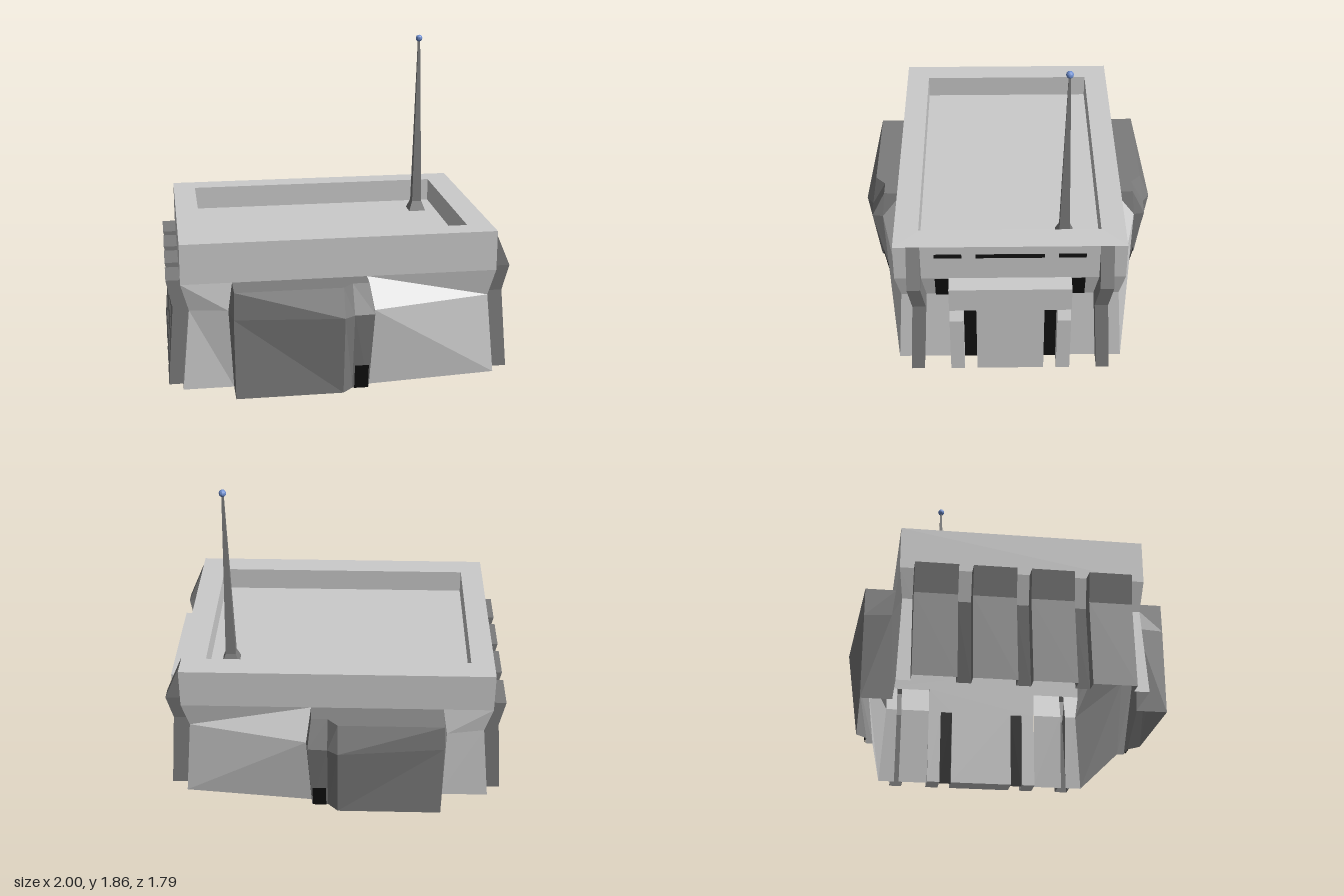
import * as THREE from 'three';

const mat = (color) => new THREE.MeshStandardMaterial({ color, flatShading: true, side: THREE.DoubleSide });
const light = mat(0xcccccc), dark = mat(0x7c7c7c), black = mat(0x111111), blue = mat(0x6f8fd0);
const Y = [0, 0.475, 0.635]; // ground, waist, shoulder
const TOP = 0.87, FLOOR = 0.73;

export function createModel() {
  const root = new THREE.Group();

  const add = (name, geo, material) => {
    const m = new THREE.Mesh(geo, material);
    m.name = name;
    root.add(m);
    return m;
  };

  // Sheet of quads stretched over columns of [x, y, z] points
  const skin = (name, cols, material) => {
    const n = cols[0].length, idx = [];
    for (let i = 0; i < cols.length - 1; i++) {
      for (let j = 0; j < n - 1; j++) {
        const a = i * n + j, b = a + n;
        idx.push(a, b, a + 1, b, b + 1, a + 1);
      }
    }
    const g = new THREE.BufferGeometry();
    g.setAttribute('position', new THREE.Float32BufferAttribute(cols.flat(2), 3));
    g.setIndex(idx);
    g.computeVertexNormals();
    return add(name, g, material);
  };

  // Rectangle outline at height y, closed
  const ring = (x0, x1, z, y) => [[x0, y, z], [x1, y, z], [x1, y, -z], [x0, y, -z], [x0, y, z]];

  // Upper walls, rim and sunken roof
  skin('upperWalls', [ring(-0.92, 0.9, 0.66, Y[2]), ring(-0.92, 0.9, 0.66, TOP)], light);
  skin('roofRim', [ring(-0.92, 0.9, 0.66, TOP), ring(-0.785, 0.755, 0.52, TOP)], light);
  skin('roofRecess', [ring(-0.785, 0.755, 0.52, TOP), ring(-0.785, 0.755, 0.52, FLOOR)], light);
  const floor = add('roofFloor', new THREE.PlaneGeometry(1.54, 1.04), light);
  floor.rotation.x = -Math.PI / 2;
  floor.position.set(-0.015, FLOOR, 0);

  // Long walls with bulge, side bay and its stepped doorway, mirrored front to back
  for (const s of [1, -1]) {
    const side = s > 0 ? 'front' : 'back';
    const col = (...p) => Y.map((y, i) => [p[i][0], y, p[i][1] * s]);
    const bayStart = col([-0.63, 0.66], [-0.655, 0.68], [-0.63, 0.66]);
    const bayEnd = col([0.14, 0.73], [0.165, 0.785], [0.14, 0.66]);
    const ridge = col([-0.02, 0.83], [-0.02, 0.895], [-0.02, 0.83]);
    const bay = [
      bayStart,
      col([-0.63, 0.83], [-0.635, 0.83], [-0.63, 0.83]),
      ridge,
      col([0.04, 0.77], [0.04, 0.855], [0.04, 0.77]),
      col([0.135, 0.77], [0.155, 0.85], [0.135, 0.77]),
      bayEnd,
    ];
    skin(side + 'WallShort', [col([-0.92, 0.66], [-0.875, 0.64], [-0.92, 0.66]), bayStart], light);
    skin(side + 'WallLong', [bayEnd, col([0.9, 0.66], [0.86, 0.63], [0.9, 0.66])], light);
    skin(side + 'Bay', bay, dark);
    skin(side + 'BayTop', bay.map((c) => [c[2], [c[2][0], Y[2], 0.66 * s]]), dark);
    skin(side + 'Doorway', [0.05, 0.13].map((x) => [[x, 0, 0.776 * s], [x, 0.15, 0.803 * s]]), black);
  }

  // End wall strip between z0 and z1 following the waisted profile
  const strip = (name, xs, z0, z1, material, w0 = z0) =>
    skin(name, [[z0, w0, z0], [z1, z1, z1]].map((z) => xs.map((x, i) => [x, Y[i], z[i]])), material);
  const leftX = [0.9, 0.86, 0.9], rightX = [-0.92, -0.875, -0.92];

  // Hollow pier with a bent profile of [outer x, inner x, y], shifted in z at the waist
  const pier = (name, prof, z0, z1, shift = 0) => {
    const line = (k, z) => prof.map((p, i) => [p[k], p[2], z + (i === 1 ? shift : 0)]);
    skin(name, [line(1, z0), line(0, z0), line(0, z1), line(1, z1)], dark);
    const t = prof.at(-1);
    if (t[0] !== t[1]) skin(name + 'Top', [z0, z1].map((z) => [[t[0], t[2], z], [t[1], t[2], z]]), dark);
  };

  // Row of four buttresses on the -x end, black gaps between them
  const buttress = [[-1, -0.92, Y[0]], [-0.965, -0.875, Y[1]], [-1, -0.92, Y[2]]];
  for (let i = 0; i < 4; i++) {
    const z = -0.585 + i * 0.31;
    pier('buttress', buttress, z, z + 0.232);
    if (i === 3) continue;
    skin('buttressGap', [z + 0.232, z + 0.31].map((q) => [[-0.92, 0, q], [-0.875, Y[1], q]]), black);
    skin('buttressGapTop', [z + 0.232, z + 0.31].map((q) => [[-0.875, Y[1], q], [-0.92, Y[2], q]]), light);
  }
  strip('rightWallEdge', rightX, 0.66, 0.577, light, 0.64);
  strip('rightWallEdge', rightX, -0.66, -0.585, light, -0.64);

  // Gate panel on the +x end: T-shaped slab, shape drawn in (z, y)
  const gate = new THREE.Shape([
    [-0.195, 0], [0.195, 0], [0.195, Y[1]], [0.35, Y[1]],
    [0.35, Y[2]], [-0.35, Y[2]], [-0.35, Y[1]], [-0.195, Y[1]],
  ].map((p) => new THREE.Vector2(...p)));
  const slab = add('gatePanel', new THREE.ExtrudeGeometry(gate, { depth: 0.13, bevelEnabled: false }), light);
  slab.rotation.y = Math.PI / 2;
  slab.position.x = 0.87;

  // Gate legs with a sloped shoulder, profile in (x, y)
  const legShape = new THREE.Shape([[0.87, 0], [1, 0], [1, 0.39], [0.95, Y[1]], [0.87, Y[1]]]
    .map((p) => new THREE.Vector2(...p)));
  const pillar = [[1, 0.9, Y[0]], [0.965, 0.86, Y[1]], [1, 0.9, Y[2]], [0.9, 0.9, TOP]];

  for (const s of [1, -1]) {
    const leg = add('gateLeg', new THREE.ExtrudeGeometry(legShape, { depth: 0.08, bevelEnabled: false }), light);
    leg.position.z = s > 0 ? 0.27 : -0.35;
    pier('cornerPillar', pillar, 0.585 * s, 0.508 * s, -0.024 * s);
    strip('leftWallEdge', leftX, 0.66 * s, 0.56 * s, light, 0.63 * s);
    strip('leftWallInner', leftX, 0.53 * s, 0.35 * s, light);
    skin('gateSlot', [0.195, 0.27].map((z) => [[0.903, 0, z * s], [0.88, Y[1], z * s]]), black);
    skin('wallOpening', [0.352, 0.43].map((z) => [[0.866, Y[1], z * s], [0.906, Y[2], z * s]]), black);
  }

  // Vent slits above the gate
  for (const [z, w] of [[0.352, 0.155], [0, 0.39], [-0.352, 0.155]]) {
    add('ventSlit', new THREE.BoxGeometry(0.01, 0.025, w), black).position.set(0.9, 0.803, z);
  }

  // Square tapered mast with a ball tip
  const mastProfile = [[0.052, 0], [0.03, 0.06], [0.006, 1.11]]
    .map(([r, y]) => new THREE.Vector2(r * Math.SQRT2, y));
  const mast = add('antennaMast', new THREE.LatheGeometry(mastProfile, 4), dark);
  mast.rotation.y = Math.PI / 4;
  mast.position.set(0.632, FLOOR, -0.318);
  add('antennaTip', new THREE.SphereGeometry(0.021, 12, 8), blue).position.set(0.632, 1.842, -0.318);

  return root;
}
